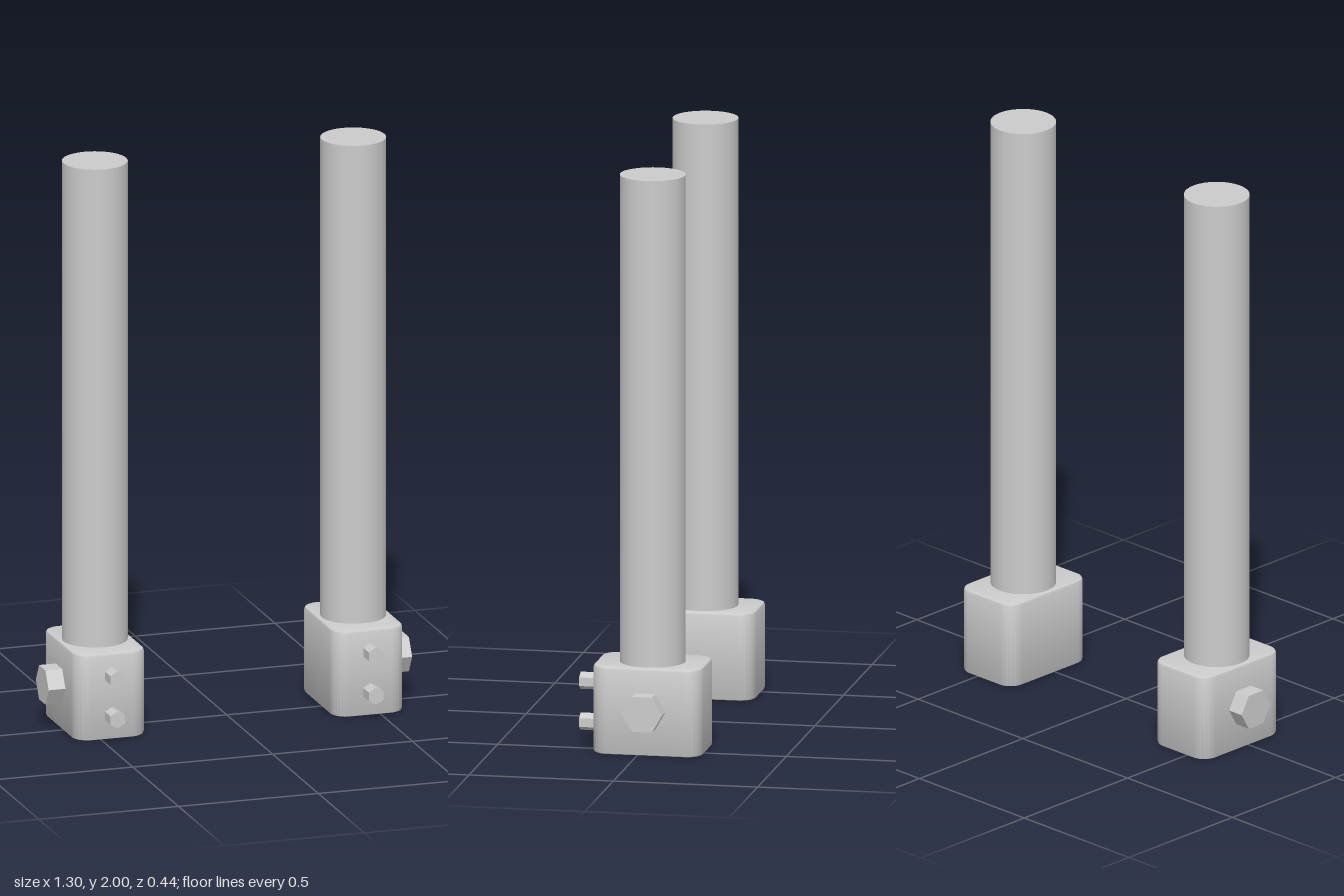
import * as THREE from 'three';
import { toCreasedNormals } from 'three/addons/utils/BufferGeometryUtils.js';

const smooth = new THREE.MeshStandardMaterial({ color: 0xcccccc });
const faceted = new THREE.MeshStandardMaterial({ color: 0xcccccc, flatShading: true });

function part(name, geometry, material, x, y, z) {
  const mesh = new THREE.Mesh(geometry, material);
  mesh.name = name;
  mesh.position.set(x, y, z);
  return mesh;
}

// Upright block with rounded vertical corners and a small chamfer top and bottom
function clampBlockGeometry(w, h, d, r, bevel) {
  const x = w / 2, y = d / 2;
  const shape = new THREE.Shape();
  shape.absarc(x - r, y - r, r, 0, Math.PI / 2);
  shape.absarc(-x + r, y - r, r, Math.PI / 2, Math.PI);
  shape.absarc(-x + r, -y + r, r, Math.PI, Math.PI * 1.5);
  shape.absarc(x - r, -y + r, r, Math.PI * 1.5, Math.PI * 2);
  shape.closePath();
  const geometry = new THREE.ExtrudeGeometry(shape, {
    depth: h - 2 * bevel, curveSegments: 8,
    bevelThickness: bevel, bevelSize: bevel, bevelOffset: -bevel, bevelSegments: 2,
  });
  geometry.rotateX(-Math.PI / 2).translate(0, bevel, 0);
  return toCreasedNormals(geometry, Math.PI / 6);
}

export function createModel() {
  const group = new THREE.Group();
  const block = clampBlockGeometry(0.256, 0.305, 0.38, 0.055, 0.01);
  const post = new THREE.CylinderGeometry(0.112, 0.112, 1.74, 64);
  const sideBolt = new THREE.CylinderGeometry(0.07, 0.07, 0.08, 6).rotateZ(Math.PI / 2);
  const frontBolt = new THREE.CylinderGeometry(0.03, 0.03, 0.08, 6).rotateX(Math.PI / 2);

  for (const [label, s] of [['left', 1], ['right', -1]]) {
    const leg = new THREE.Group();
    leg.name = `${label}Leg`;
    leg.position.set(s * 0.462, 0, -0.03);
    leg.add(part('clampBlock', block, smooth, 0, 0.003, 0));
    leg.add(part('post', post, smooth, 0, 1.13, 0));
    // Large hex bolt on the outer side
    leg.add(part('sideBolt', sideBolt, faceted, s * 0.148, 0.16, 0));
    // Two small hex bolts on the front
    for (const y of [0.088, 0.23]) leg.add(part('frontBolt', frontBolt, faceted, 0, y, 0.21));
    group.add(leg);
  }
  return group;
}
